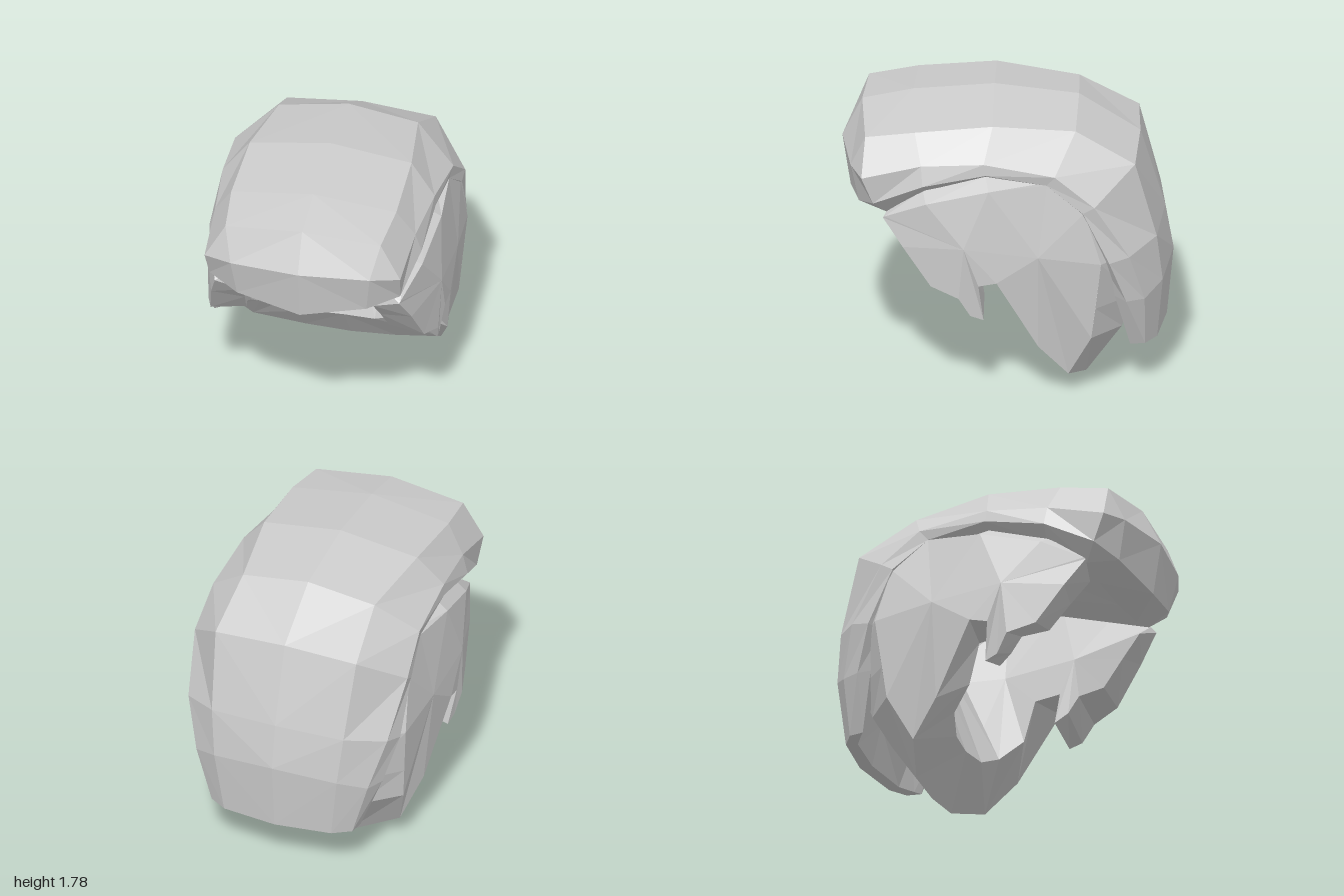
import * as THREE from 'three';

const material = new THREE.MeshStandardMaterial({
  color: 0xcccccc, flatShading: true, side: THREE.DoubleSide,
});

// Mesh from a list of triangles, dropping collapsed ones
function facetMesh(name, triangles) {
  const tri = new THREE.Triangle();
  const points = triangles
    .filter(([a, b, c]) => tri.set(a, b, c).getArea() > 1e-6)
    .flat();
  const geometry = new THREE.BufferGeometry().setFromPoints(points);
  geometry.computeVertexNormals();
  const mesh = new THREE.Mesh(geometry, material);
  mesh.name = name;
  return mesh;
}

const vec = (p) => new THREE.Vector3(...p);

// Skin over half sections (centre line to left side), mirrored to the right
function mirroredLoft(name, halves) {
  const rows = halves.map((half) => [
    ...half.slice(1).reverse().map(([x, y, z]) => vec([-x, y, z])),
    ...half.map(vec),
  ]);
  const triangles = [];
  for (let r = 0; r < rows.length - 1; r++) {
    for (let c = 0; c < rows[r].length - 1; c++) {
      const [a, b] = [rows[r][c], rows[r][c + 1]];
      const [d, e] = [rows[r + 1][c], rows[r + 1][c + 1]];
      // mirror the diagonal too
      if (c < (rows[r].length - 1) / 2) triangles.push([a, b, e], [a, e, d]);
      else triangles.push([a, b, d], [b, e, d]);
    }
  }
  return facetMesh(name, triangles);
}

// Thick side panel: outer and inner outlines joined by a rim; each face is
// fanned from a front and a rear hub so that it bulges and clears the notch
function sidePanel(side, outline) {
  const outer = outline.map(([z, y, x]) => vec([side * x, y, z]));
  const inner = outline.map(([, , , z, y, x]) => vec([side * x, y, z]));
  const hubs = (x) => [vec([side * x, 1.0, 0.25]), vec([side * x, 0.95, -0.2])];
  const triangles = [];
  for (const [ring, [front, rear]] of [[outer, hubs(0.725)], [inner, hubs(0.46)]]) {
    const hubOf = (i) => (outline[i][0] >= 0.1 ? front : rear);
    ring.forEach((p, i) => {
      const j = (i + 1) % ring.length;
      triangles.push([hubOf(i), p, ring[j]], [hubOf(i), ring[j], hubOf(j)]);
    });
  }
  outer.forEach((p, i) => {
    const j = (i + 1) % outer.length;
    triangles.push([p, inner[i], outer[j]], [outer[j], inner[i], inner[j]]);
  });
  return facetMesh(side > 0 ? 'leftSidePanel' : 'rightSidePanel', triangles);
}

export function createModel() {
  const group = new THREE.Group();
  group.name = 'hair';

  // Fringe sections: centre, ridge, shoulder, edge, tucked-in edge
  const tuck = [0.5, 1.15, 0.72], corner = [0.59, 1.24, 0.8], temple = [0.605, 1.41, 0.87];
  const fringe = [
    [[0, 1.085, 0.72], [0.3, 1.1, 0.72], tuck, tuck, tuck],
    [[0, 1.115, 0.95], [0.4, 1.18, 0.89], corner, corner, tuck],
    [[0, 1.44, 1.0], [0.43, 1.425, 0.94], temple, corner, tuck],
    [[0, 1.68, 0.88], [0.48, 1.63, 0.85], temple, corner, tuck],
  ];
  // Sections over the top, down the back and under the hem
  const hem = [0.475, 0.285, -0.75], hemTuck = [0.45, 0.48, -0.69];
  const sweep = [
    [[0, 1.745, 0.57], [0.51, 1.675, 0.55], [0.62, 1.5, 0.51], [0.655, 1.38, 0.5], [0.55, 1.31, 0.48]],
    [[0, 1.785, 0.08], [0.5, 1.715, 0.08], [0.655, 1.53, 0.13], [0.66, 1.46, 0.12], [0.58, 1.42, 0.12]],
    [[0, 1.725, -0.43], [0.43, 1.66, -0.42], [0.675, 1.46, -0.3], [0.66, 1.4, -0.25], [0.58, 1.38, -0.22]],
    [[0, 1.49, -0.8], [0.46, 1.46, -0.78], [0.695, 1.27, -0.54], [0.69, 1.23, -0.47], [0.6, 1.2, -0.42]],
    [[0, 1.0, -0.95], [0.43, 0.98, -0.91], [0.65, 0.93, -0.75], [0.685, 0.9, -0.63], [0.6, 0.88, -0.57]],
    [[0, 0.72, -1.0], [0.4, 0.68, -0.945], [0.56, 0.62, -0.84], [0.61, 0.62, -0.73], [0.57, 0.64, -0.66]],
    [[0, 0.29, -0.96], [0.35, 0.285, -0.91], [0.46, 0.285, -0.84], hem, hemTuck],
    [[0, 0.29, -0.88], [0.33, 0.285, -0.84], [0.43, 0.285, -0.78], hem, hemTuck],
    [[0, 0.55, -0.82], [0.35, 0.52, -0.76], hemTuck, hemTuck, hemTuck],
  ];
  group.add(mirroredLoft('crown', [...fringe, ...sweep]));

  // Nape: outside from top to hem, then up the inside and forward along the lining
  group.add(mirroredLoft('nape', [
    [[0, 1.2, -0.75], [0.4, 1.2, -0.7], [0.68, 1.23, -0.48]],
    [[0, 0.9, -0.87], [0.42, 0.9, -0.81], [0.7, 0.9, -0.58]],
    [[0, 0.6, -0.85], [0.45, 0.6, -0.77], [0.676, 0.6, -0.545]],
    [[0, 0.39, -0.75], [0.44, 0.39, -0.7], [0.66, 0.4, -0.52]],
    [[0, 0.005, -0.49], [0.28, 0.025, -0.48], [0.58, 0.13, -0.38]],
    [[0, 0.28, -0.27], [0.2, 0.29, -0.25], [0.36, 0.37, -0.2]],
    [[0, 0.98, -0.5], [0.25, 0.965, -0.49], [0.42, 0.95, -0.46]],
    [[0, 1.27, -0.44], [0.25, 1.26, -0.43], [0.48, 1.24, -0.4]],
    [[0, 1.38, 0.1], [0.3, 1.37, 0.1], [0.53, 1.35, 0.1]],
    [[0, 1.085, 0.72], [0.3, 1.1, 0.72], [0.5, 1.15, 0.72]],
  ]));

  // Panel outline: outer z, y, x then inner z, y, x
  const outline = [
    [0.74, 1.14, 0.57, 0.7, 1.07, 0.4],
    [0.62, 0.97, 0.62, 0.58, 0.93, 0.42],
    [0.45, 0.73, 0.66, 0.45, 0.77, 0.44],
    [0.28, 0.67, 0.71, 0.28, 0.75, 0.46],
    [0.21, 0.55, 0.69, 0.21, 0.65, 0.46],
    [0.13, 0.52, 0.68, 0.13, 0.59, 0.44],
    [0.16, 0.76, 0.725, 0.16, 0.78, 0.45],
    [0.05, 0.785, 0.735, 0.0, 0.76, 0.45],
    [-0.2, 0.34, 0.66, -0.07, 0.5, 0.44],
    [-0.38, 0.13, 0.58, -0.2, 0.37, 0.36],
    [-0.52, 0.4, 0.66, -0.32, 0.6, 0.39],
    [-0.58, 0.9, 0.7, -0.46, 0.95, 0.42],
    [-0.48, 1.23, 0.68, -0.42, 1.2, 0.5],
    [-0.25, 1.4, 0.66, -0.22, 1.38, 0.58],
    [0.1, 1.365, 0.69, 0.12, 1.43, 0.59],
    [0.48, 1.265, 0.655, 0.5, 1.32, 0.56],
    [0.73, 1.15, 0.575, 0.72, 1.165, 0.53],
  ];
  group.add(sidePanel(1, outline), sidePanel(-1, outline));
  return group;
}
